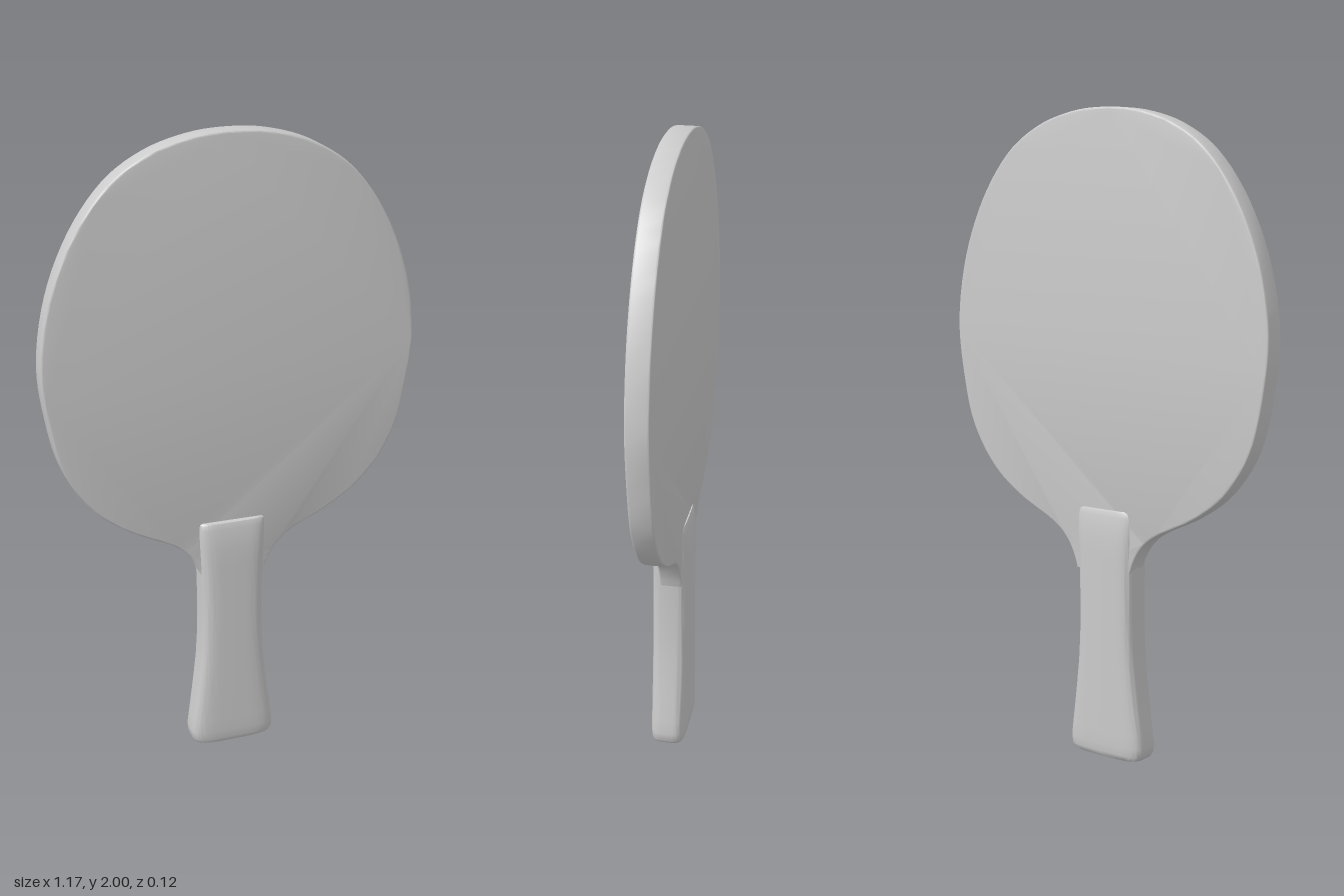
import * as THREE from 'three';
import { toCreasedNormals } from 'three/addons/utils/BufferGeometryUtils.js';

const material = new THREE.MeshStandardMaterial({ color: 0xcccccc });

// Flat blade: mirrored half outline, flowing into a neck that enters the handle
function createBlade() {
  const half = [
    [0.1, 0.59], [0.115, 0.635], [0.145, 0.685], [0.2, 0.73], [0.33, 0.795], [0.44, 0.88], [0.525, 1.01],
    [0.566, 1.17], [0.583, 1.35], [0.55, 1.55], [0.475, 1.73], [0.37, 1.87], [0.25, 1.95], [0.12, 1.99],
  ];
  const right = half.map(([x, y]) => new THREE.Vector2(x, y));
  const left = half.map(([x, y]) => new THREE.Vector2(-x, y)).reverse();
  const curve = new THREE.SplineCurve([...right, new THREE.Vector2(0, 2), ...left]);
  const bevel = 0.006;
  const depth = 0.07;
  const geometry = new THREE.ExtrudeGeometry(new THREE.Shape(curve.getPoints(140)), {
    depth: depth - 2 * bevel,
    bevelEnabled: true,
    bevelThickness: bevel,
    bevelSize: bevel,
    bevelOffset: -bevel,
    bevelSegments: 3,
  });
  geometry.translate(0, 0, -0.043 + bevel);
  const mesh = new THREE.Mesh(toCreasedNormals(geometry, 0.6), material);
  mesh.name = 'blade';
  return mesh;
}

// Flared handle: superellipse sections lofted from the butt to the top
function createHandle() {
  // height, half width, half depth
  const sections = [
    [0, 0, 0], [0, 0.11, 0.048], [0.005, 0.127, 0.053], [0.018, 0.136, 0.056], [0.045, 0.138, 0.058],
    [0.09, 0.132, 0.058], [0.15, 0.124, 0.058], [0.22, 0.115, 0.058], [0.3, 0.106, 0.058], [0.38, 0.101, 0.058],
    [0.47, 0.099, 0.058], [0.56, 0.1, 0.058], [0.64, 0.102, 0.058], [0.7, 0.105, 0.058], [0.74, 0.107, 0.055],
    [0.77, 0.108, 0.051], [0.785, 0.107, 0.048], [0.79, 0.1, 0.046], [0.79, 0, 0],
  ];
  const sides = 64;
  const positions = [];
  const indices = [];
  const round = (v) => Math.sign(v) * Math.pow(Math.abs(v), 0.45);
  sections.forEach(([y, w, d], row) => {
    for (let i = 0; i < sides; i++) {
      const a = (i / sides) * Math.PI * 2;
      positions.push(w * round(Math.cos(a)) - 0.005, y, d * round(Math.sin(a)) + 0.003 - 0.005 * y);
      if (row === 0) continue;
      const next = (i + 1) % sides;
      const low = (row - 1) * sides;
      const high = row * sides;
      if (row < sections.length - 1) indices.push(low + i, high + i, high + next);
      else indices.push(low + i, high + i, low + next);
      if (row > 1 && row < sections.length - 1) indices.push(low + i, high + next, low + next);
    }
  });
  const geometry = new THREE.BufferGeometry();
  geometry.setAttribute('position', new THREE.Float32BufferAttribute(positions, 3));
  geometry.setIndex(indices);
  const mesh = new THREE.Mesh(toCreasedNormals(geometry, 0.7), material);
  mesh.name = 'handle';
  return mesh;
}

export function createModel() {
  const group = new THREE.Group();
  group.name = 'paddle';
  group.add(createBlade(), createHandle());
  return group;
}
